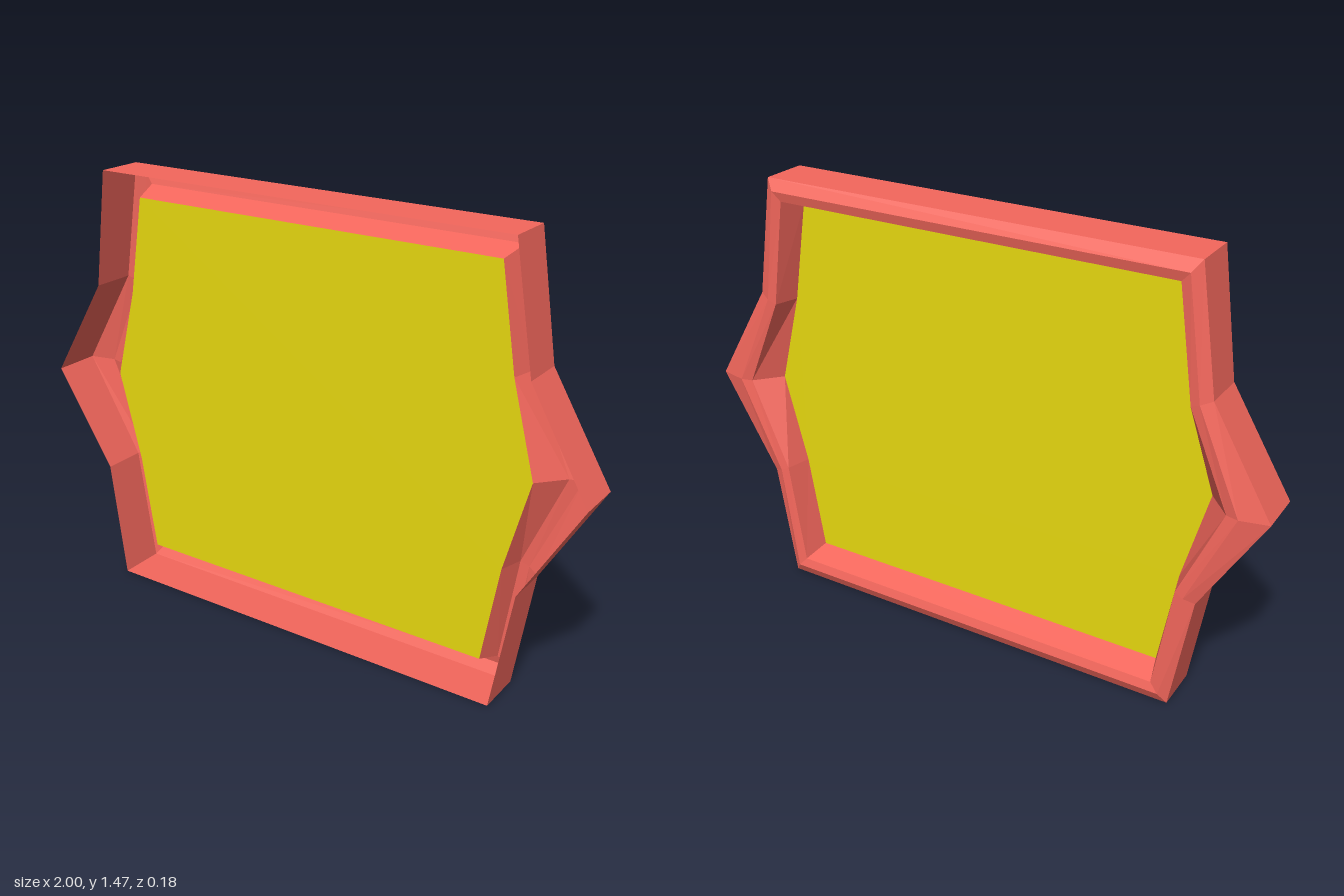
import * as THREE from 'three';

const MID = 0.737; // height of the side tips, and mirror line

// Closed eight-corner-plus-tips outline from one lower-right quarter,
// counter-clockwise as seen from the front. Each point is [x, y, z].
function outline(corner, notch, tip) {
  const up = ([x, y, z]) => [x, 2 * MID - y, z];
  const right = [corner, notch, tip, up(notch), up(corner)];
  const left = right.map(([x, y, z]) => [-x, y, z]).reverse();
  return [...right, ...left];
}

// Flat-shaded strips joining consecutive outlines
function loft(rings) {
  const pos = [];
  for (let k = 0; k < rings.length - 1; k++) {
    const r = rings[k], s = rings[k + 1], n = r.length;
    for (let i = 0; i < n; i++) {
      const j = (i + 1) % n;
      pos.push(...r[i], ...s[i], ...s[j], ...r[i], ...s[j], ...r[j]);
    }
  }
  const geo = new THREE.BufferGeometry();
  geo.setAttribute('position', new THREE.Float32BufferAttribute(pos, 3));
  geo.computeVertexNormals();
  return geo;
}

export function createModel() {
  const group = new THREE.Group();
  group.name = 'framedPanel';

  const red = new THREE.MeshStandardMaterial({
    color: 0xf4675c, flatShading: true, side: THREE.DoubleSide });
  const yellow = new THREE.MeshStandardMaterial({
    color: 0xe6d80f, flatShading: true, side: THREE.DoubleSide });

  // Frame: open at the front, outer wall, back bevel, ridge, inner lip
  const panelZ = 0.005;
  const inner = outline([0.66, 0.095, panelZ], [0.715, 0.43, panelZ], [0.795, MID, panelZ]);
  const rings = [
    outline([0.737, 0, 0.09], [0.8, 0.4, 0.08], [1, MID, 0.09]),
    outline([0.737, 0, -0.07], [0.8, 0.4, -0.07], [1, MID, -0.07]),
    outline([0.71, 0.037, -0.09], [0.765, 0.415, -0.085], [0.91, MID, -0.09]),
    outline([0.682, 0.068, -0.082], [0.737, 0.428, -0.08], [0.87, MID, -0.08]),
    inner,
  ];
  const frame = new THREE.Mesh(loft(rings), red);
  frame.name = 'frame';
  group.add(frame);

  // Flat panel filling the inner lip
  const shape = new THREE.Shape(inner.map(([x, y]) => new THREE.Vector2(x, y)));
  const panel = new THREE.Mesh(new THREE.ShapeGeometry(shape), yellow);
  panel.position.z = panelZ;
  panel.name = 'panel';
  group.add(panel);

  return group;
}
